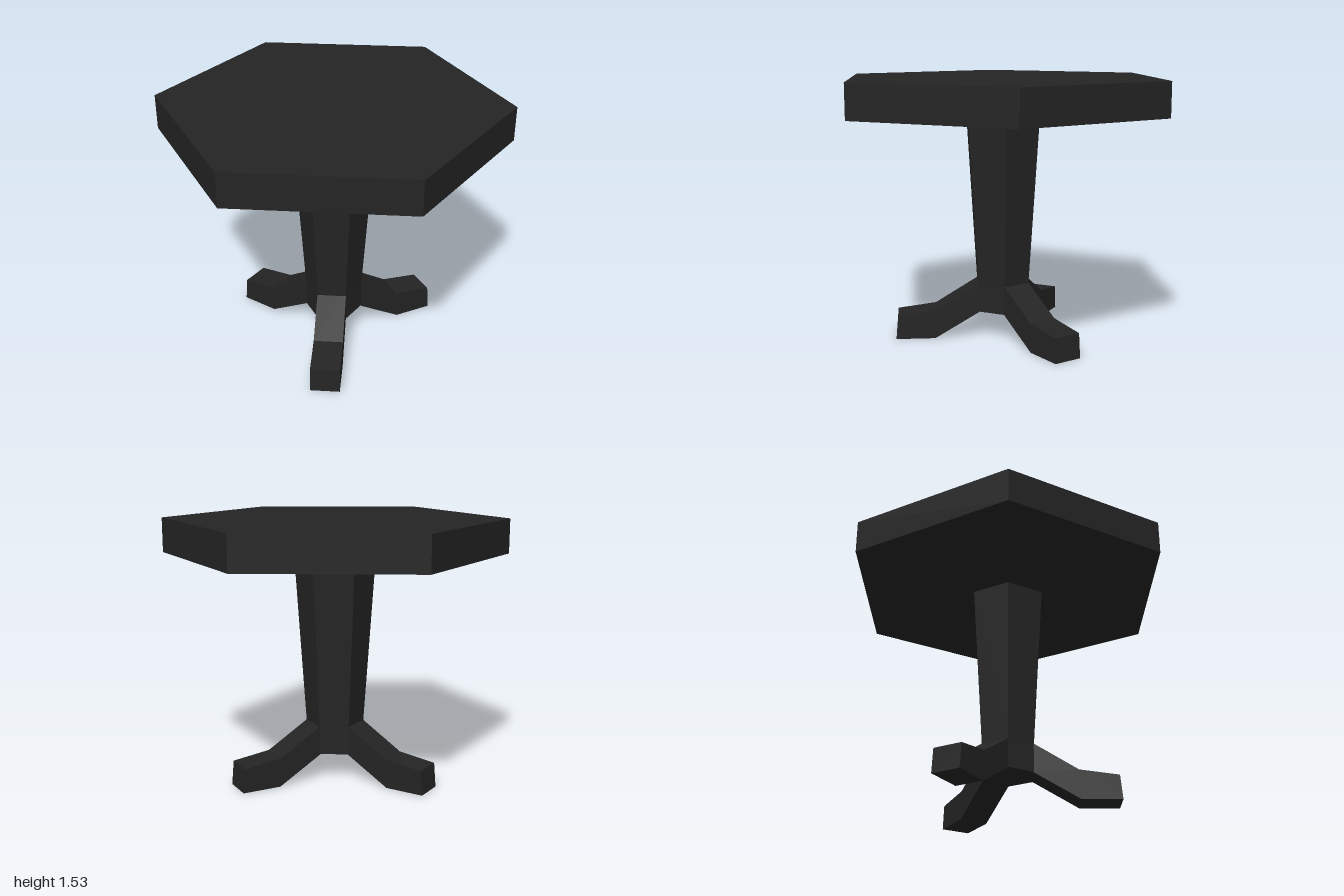
import * as THREE from 'three';

export function createModel() {
  const group = new THREE.Group();
  group.name = 'pedestalTable';
  const black = new THREE.MeshStandardMaterial({ color: 0x242424 });
  black.name = 'black';

  const add = (name, geometry) => {
    // unshared vertices give crisp flat facets
    const flat = geometry.index ? geometry.toNonIndexed() : geometry;
    flat.computeVertexNormals();
    const mesh = new THREE.Mesh(flat, black);
    mesh.name = name;
    group.add(mesh);
    return mesh;
  };

  // Six-sided solid with corners on the x axis, profile listed bottom to top
  const hexSolid = (profile) => new THREE.LatheGeometry(
    profile.map(([r, y]) => new THREE.Vector2(r, y)), 6, Math.PI / 2);

  // Hexagonal top with a shallow sloping underside
  add('tableTop', hexSolid([[0, 1.29], [0.235, 1.29], [1, 1.33], [1, 1.53], [0, 1.53]]));

  // Column flaring upwards from a short straight hub
  add('column', hexSolid([[0, 0.157], [0.17, 0.157], [0.17, 0.325], [0.235, 1.29]]));

  // Three bent feet: one to the front, two to the back
  const width = 0.172;
  const profile = [[0.14, 0.157], [0.405, 0], [0.635, 0], [0.623, 0.142], [0.397, 0.172], [0.147, 0.325], [0.14, 0.325]];
  const shape = new THREE.Shape(profile.map(([r, y]) => new THREE.Vector2(r, y)));
  ['frontFoot', 'backLeftFoot', 'backRightFoot'].forEach((name, i) => {
    const foot = new THREE.ExtrudeGeometry(shape, { depth: width, bevelEnabled: false });
    foot.translate(0, 0, -width / 2);
    foot.rotateY(-Math.PI / 2 + i * Math.PI * 2 / 3);
    add(name, foot);
  });

  return group;
}
